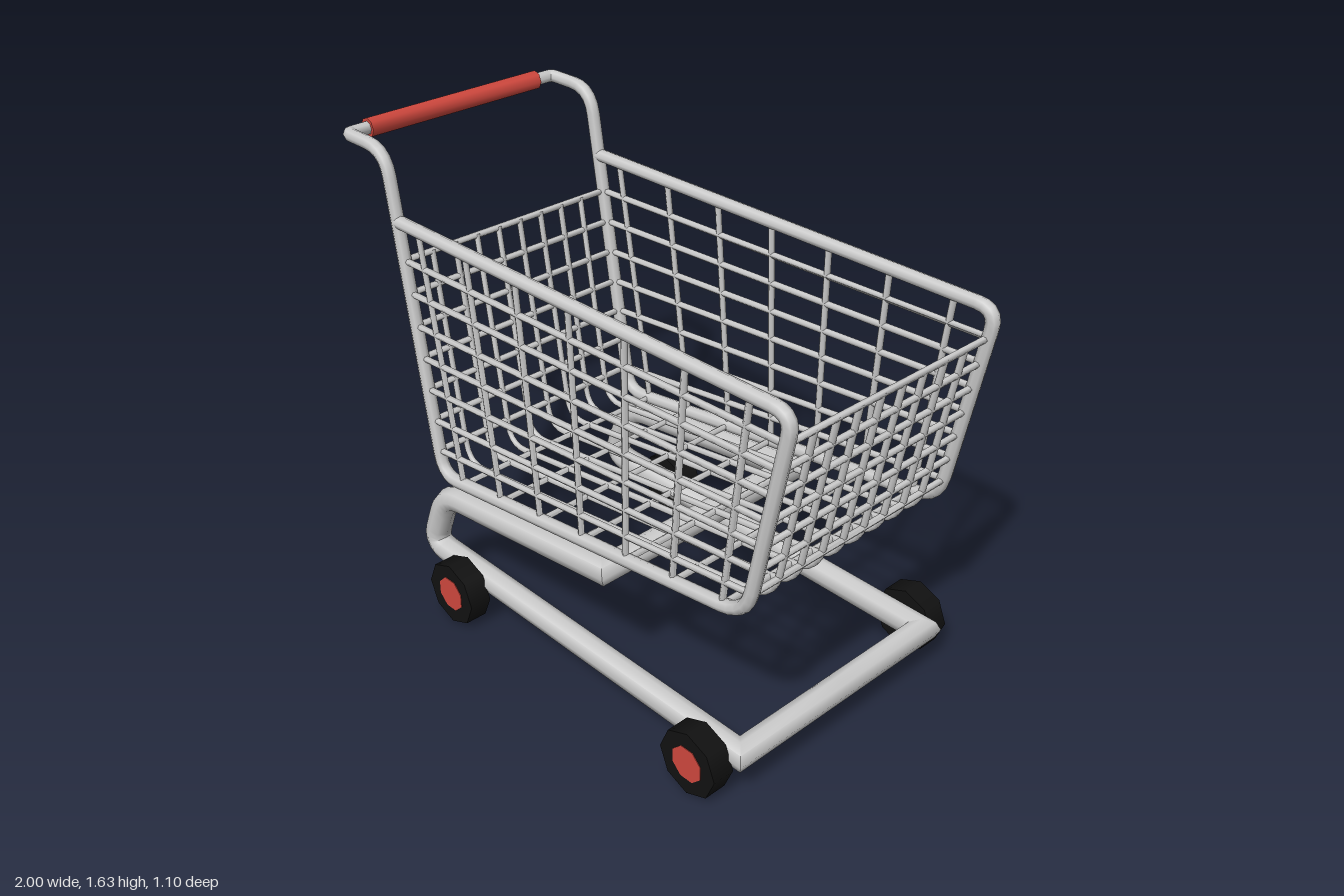
import * as THREE from 'three';
import { toCreasedNormals } from 'three/addons/utils/BufferGeometryUtils.js';

const V = (x, y, z) => new THREE.Vector3(x, y, z);
const metal = new THREE.MeshStandardMaterial({ color: 0xcccccc });
const red = new THREE.MeshStandardMaterial({ color: 0xd0483e });
const rubber = new THREE.MeshStandardMaterial({ color: 0x111111 });
const HALF = 0.432; // half width of the frame

// Path through points [x, y, z, bend]; each bend is a short curve cut into the corner
function bendPath(points) {
  const path = [];
  points.forEach(([x, y, z, bend], i) => {
    const p = V(x, y, z);
    if (!bend) return path.push(p);
    const a = V(...points[i - 1].slice(0, 3)).sub(p).setLength(bend).add(p);
    const b = V(...points[i + 1].slice(0, 3)).sub(p).setLength(bend).add(p);
    path.push(...new THREE.QuadraticBezierCurve3(a, p, b).getPoints(5));
  });
  return path;
}

// Tube with mitred joints: each ring slides along its segment onto the joint plane
function tube(name, points, radius, sides = 8) {
  const path = bendPath(points);
  const dirs = path.slice(1).map((p, i) => p.clone().sub(path[i]).normalize());
  const d0 = dirs[0];
  const u = d0.clone().cross(Math.abs(d0.y) > 0.8 ? V(1, 0, 0) : V(0, 1, 0)).normalize();
  const v = d0.clone().cross(u);
  let ring = [];
  for (let j = 0; j < sides; j++) {
    const t = (j / sides) * Math.PI * 2;
    ring.push(path[0].clone().addScaledVector(u, Math.cos(t) * radius).addScaledVector(v, Math.sin(t) * radius));
  }
  const position = [], index = [];
  path.forEach((p, i) => {
    if (i > 0) {
      const d = dirs[i - 1];
      const n = d.clone().add(dirs[i] || d);
      ring = ring.map(q => q.clone().addScaledVector(d, p.clone().sub(q).dot(n) / d.dot(n)));
    }
    ring.forEach(q => position.push(q.x, q.y, q.z));
    if (i === path.length - 1) return;
    for (let j = 0; j < sides; j++) {
      const a = i * sides + j, b = i * sides + (j + 1) % sides;
      index.push(a, b, a + sides, b, b + sides, a + sides);
    }
  });
  const geometry = new THREE.BufferGeometry();
  geometry.setAttribute('position', new THREE.Float32BufferAttribute(position, 3));
  geometry.setIndex(index);
  const mesh = new THREE.Mesh(toCreasedNormals(geometry, 1.15), metal);
  mesh.name = name;
  return mesh;
}

// One side's points followed by their mirror image in reverse
const mirrored = side => [
  ...side.map(([x, y, b]) => [x, y, HALF, b]),
  ...side.slice().reverse().map(([x, y, b]) => [x, y, -HALF, b]),
];

// Cylinder lying along z
function disc(name, material, radius, depth, x, y, z, turn = 0) {
  const geometry = new THREE.CylinderGeometry(radius, radius, depth, 8);
  geometry.rotateY(turn).rotateX(Math.PI / 2);
  const mesh = new THREE.Mesh(geometry, material);
  mesh.name = name;
  mesh.position.set(x, y, z);
  return mesh;
}

export function createModel() {
  const model = new THREE.Group();
  model.name = 'shoppingCart';
  const lerp = THREE.MathUtils.lerp;

  // Basket rims and handle bar bent from one tube
  model.add(tube('basketFrame', mirrored([
    [-0.725, 1.37], [0.985, 1.376, 0.07], [0.851, 0.667, 0.1], [-0.57, 0.475, 0.08],
    [-0.762, 1.6, 0.09], [-0.967, 1.6, 0.025],
  ]), 0.023));

  // Handle grip
  const grip = disc('handleGrip', red, 0.034, 0.71, -0.967, 1.6, 0);
  grip.geometry = toCreasedNormals(grip.geometry, 1);
  model.add(grip);

  // Undercarriage loop, joined in the middle of the front crossbar
  const loop = mirrored([[0.845, 0.15], [-0.655, 0.162, 0.08], [-0.56, 0.405, 0.09], [0.245, 0.505]]);
  model.add(tube('undercarriage', [[0.845, 0.15, 0], ...loop, [0.845, 0.15, 0]], 0.045));

  const wires = new THREE.Group();
  wires.name = 'basketWires';
  model.add(wires);
  const wireRadius = 0.011;

  for (let i = 0; i < 7; i++) {
    const t = i / 6;
    // Level hoops around the four walls
    const yb = lerp(1.24, 0.57, t), yf = lerp(1.28, 0.75, t);
    const xb = lerp(-0.7, -0.586, t), xf = lerp(0.965, 0.867, t);
    wires.add(tube('hoopWire', [
      [xf, yf, 0], [xf, yf, HALF], [xb, yb, HALF], [xb, yb, -HALF], [xf, yf, -HALF], [xf, yf, 0],
    ], wireRadius, 6));
    // Hoops down the sides and across the floor
    const xt = lerp(-0.615, 0.834, t), xl = lerp(-0.46, 0.754, t);
    const yl = 0.552 + 0.135 * xl;
    wires.add(tube('crossWire', mirrored([[xt, 1.37], [xl, yl]]), wireRadius, 6));
  }

  // Lengthwise wires down the back, along the floor and up the front
  for (let i = 0; i < 8; i++) {
    const z = (i - 3.5) * 0.0918;
    wires.add(tube('lengthWire', [
      [-0.7, 1.245, z], [-0.57, 0.475, z, 0.08], [0.851, 0.667, z, 0.1], [0.965, 1.285, z],
    ], wireRadius, 6));
  }

  // Wheels with a hub on the outer face
  for (const x of [-0.415, 0.74]) {
    for (const s of [1, -1]) {
      const wheel = new THREE.Group();
      wheel.name = 'wheel';
      wheel.add(disc('tire', rubber, 0.115, 0.08, x, 0.115, s * 0.51));
      wheel.add(disc('hub', red, 0.063, 0.01, x, 0.115, s * 0.547, Math.PI / 8));
      model.add(wheel);
    }
  }
  return model;
}
